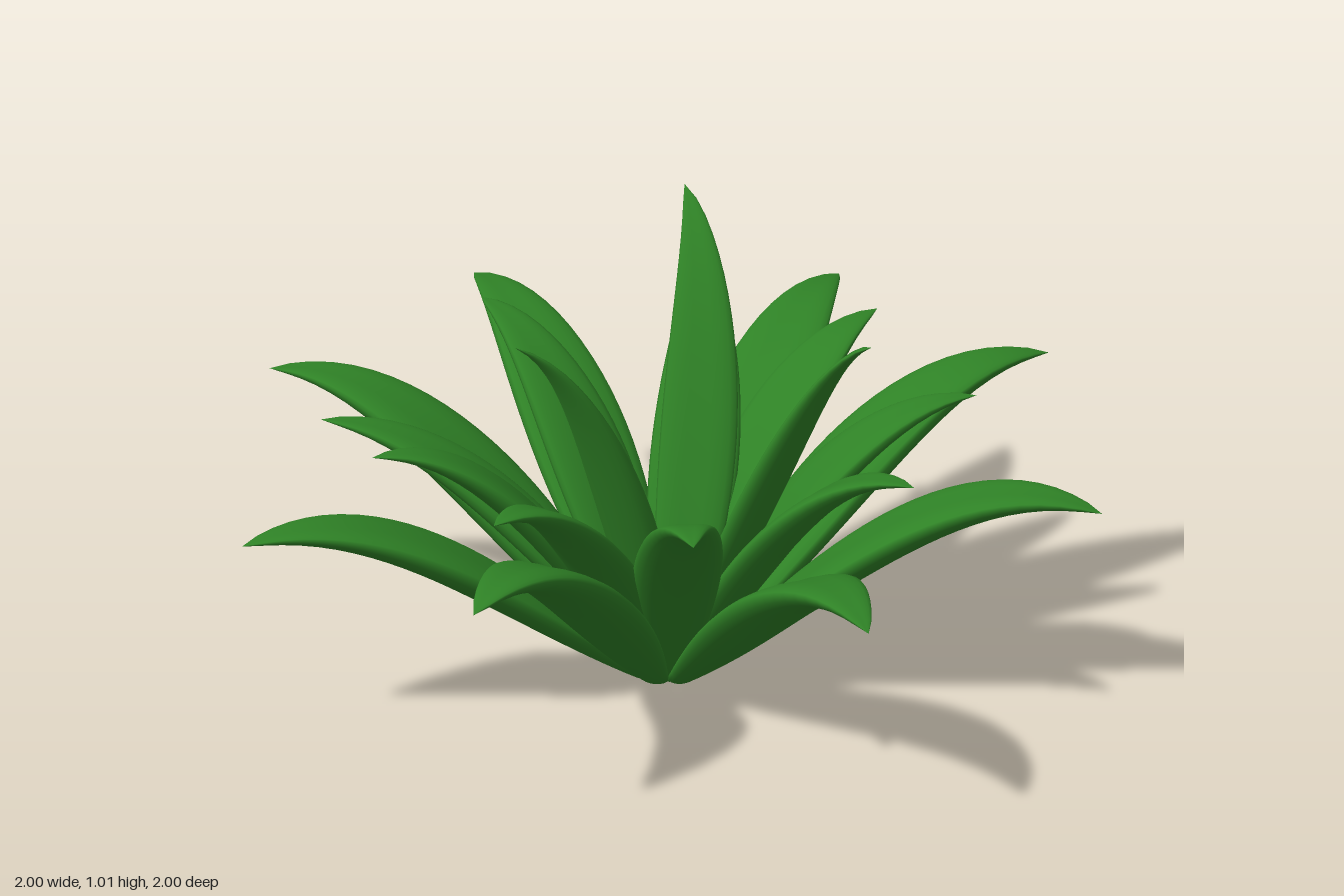
import * as THREE from 'three';

const leafGreen = new THREE.MeshStandardMaterial({ color: 0x2f8226 });
leafGreen.name = 'leaf green';

// tip x, y, z and sideways bow of every leaf
const outerLeaves = [
  [0.995, 0.53, -0.23, 0.05], [0.81, 0.54, 0.595, 0.04], [0, 0.585, 0.995, 0], [-0.715, 0.5, 0.745, 0],
  [-1, 0.585, 0.03, 0], [-0.795, 0.6, -0.605, 0], [-0.06, 0.585, -1, 0], [0.57, 0.6, -0.81, 0],
];
const middleLeaves = [
  [0.69, 0.68, 0.12, 0], [0.37, 0.67, 0.61, 0], [-0.09, 0.67, 0.71, 0], [-0.5, 0.67, 0.51, 0],
  [-0.77, 0.59, 0.23, 0], [-0.62, 0.71, -0.29, 0], [-0.22, 0.76, -0.595, -0.04],
  [0.19, 0.68, -0.695, 0], [0.57, 0.65, -0.44, 0],
];
const innerLeaves = [[-0.2, 1, -0.49, -0.06], [0.55, 0.98, 0.06, 0.05], [-0.15, 1.01, 0.48, 0.06]];

// Thick blade with a rounded belly and a faint groove on top, swept along an arching curve
function leafGeometry([x, y, z, bow], { width, baseRadius, baseY, rise, arch }) {
  const reach = Math.hypot(x, z);
  const out = new THREE.Vector3(x / reach, 0, z / reach);
  const across = new THREE.Vector3(0, 1, 0).cross(out);
  const at = (r, h, s) => out.clone().multiplyScalar(r).addScaledVector(across, s).setY(h);
  const curve = new THREE.CubicBezierCurve3(
    at(baseRadius, baseY, 0),
    at(reach * 0.33, y * rise, bow * 1.3),
    at(reach * 0.66, y * arch, bow * 1.3),
    at(reach, y, 0));

  const rows = 26, cols = 20, positions = [], index = [];
  for (let i = 0; i <= rows; i++) {
    const t = Math.max(0, i - 1) / (rows - 1);
    // the first ring closes the base
    const w = i === 0 ? 0 : width * Math.pow(Math.max(0, Math.sin(Math.PI * (0.075 + 0.925 * t))), 0.8);
    const p = curve.getPointAt(t), tangent = curve.getTangentAt(t);
    const side = across.clone().addScaledVector(tangent, -across.dot(tangent)).normalize();
    const normal = tangent.clone().cross(side);
    for (let j = 0; j < cols; j++) {
      const angle = 2 * Math.PI * j / cols;
      const v = Math.cos(angle), s = Math.sin(angle);
      const h = s < 0 ? 0.48 * s : 0.28 * s - 0.1 * (1 - Math.abs(v));
      const q = p.clone().addScaledVector(side, v * w).addScaledVector(normal, h * w);
      positions.push(q.x, q.y, q.z);
      if (i < rows) {
        const next = (j + 1) % cols;
        const a = i * cols + j, b = i * cols + next, c = a + cols, d = b + cols;
        index.push(a, b, c, b, d, c);
      }
    }
  }
  const geometry = new THREE.BufferGeometry();
  geometry.setAttribute('position', new THREE.Float32BufferAttribute(positions, 3));
  geometry.setIndex(index);
  geometry.computeVertexNormals();
  return geometry;
}

function leafRing(name, leaves, options) {
  const ring = new THREE.Group();
  ring.name = name + 'Leaves';
  leaves.forEach((leaf, i) => {
    const mesh = new THREE.Mesh(leafGeometry(leaf, options), leafGreen);
    mesh.name = name + 'Leaf' + (i + 1);
    ring.add(mesh);
  });
  return ring;
}

export function createModel() {
  const plant = new THREE.Group();
  plant.name = 'rosettePlant';
  plant.add(
    leafRing('outer', outerLeaves, { width: 0.122, baseRadius: 0.07, baseY: 0.035, rise: 0.52, arch: 1.18 }),
    leafRing('middle', middleLeaves, { width: 0.102, baseRadius: 0.04, baseY: 0.03, rise: 0.6, arch: 1.03 }),
    leafRing('inner', innerLeaves, { width: 0.088, baseRadius: 0.01, baseY: 0.01, rise: 0.45, arch: 0.92 }));
  return plant;
}
